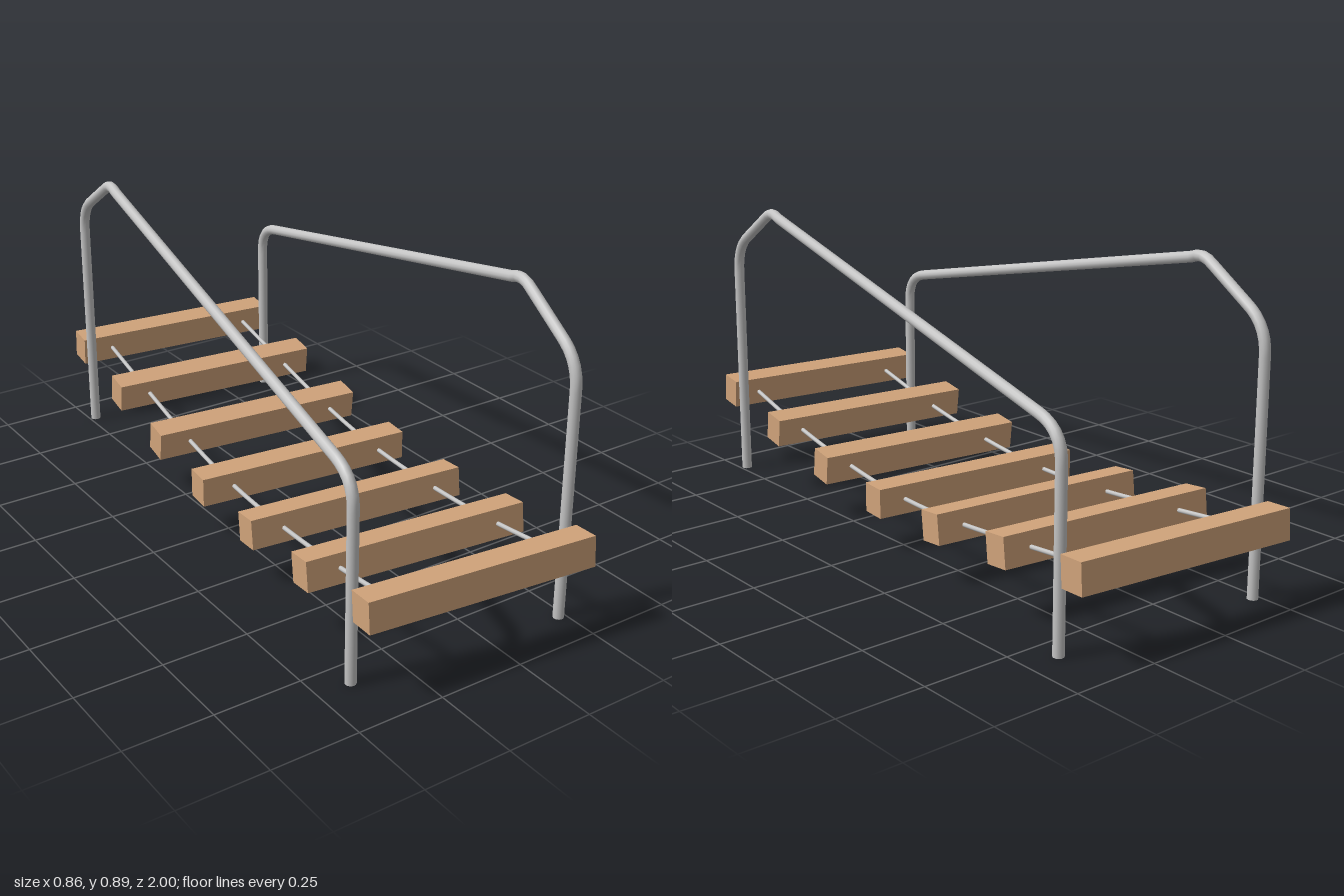
import * as THREE from 'three';

const wood = new THREE.MeshStandardMaterial({ color: 0xd0a37a });
wood.name = 'tan wood';
const metal = new THREE.MeshStandardMaterial({ color: 0xc4c4c4 });
metal.name = 'grey metal';

const RAIL_X = 0.317, RAIL_Z = 0.862, RAIL_R = 0.0155;

// [z, y, pitch] of each plank, front to back, along a sagging line
const PLANKS = [
  [0.931, 0.248, -0.1], [0.623, 0.194, -0.13], [0.312, 0.158, -0.12], [0, 0.143, 0],
  [-0.305, 0.158, 0.12], [-0.613, 0.194, 0.12], [-0.927, 0.235, 0.07],
];

function mesh(name, geometry, material, parent) {
  const m = new THREE.Mesh(geometry, material);
  m.name = name;
  parent.add(m);
  return m;
}

// Straight runs joined by quadratic bends; each bend is [start, corner, end] as [z, y]
function railCurve() {
  const v = ([z, y]) => new THREE.Vector3(RAIL_X, y, z);
  const bends = [
    [[RAIL_Z, 0.66], [RAIL_Z, 0.735], [0.8, 0.773]],
    [[0.645, 0.865], [0.612, 0.884], [0.575, 0.867]],
    [[-0.77, 0.590], [-RAIL_Z, 0.572], [-RAIL_Z, 0.49]],
  ];
  const path = new THREE.CurvePath();
  let last = v([RAIL_Z, 0]);
  for (const [a, b, c] of bends) {
    path.add(new THREE.LineCurve3(last, v(a)));
    path.add(new THREE.QuadraticBezierCurve3(v(a), v(b), v(c)));
    last = v(c);
  }
  path.add(new THREE.LineCurve3(last, v([-RAIL_Z, 0])));
  return path;
}

export function createModel() {
  const model = new THREE.Group();
  model.name = 'plankBridge';

  // The whole bridge stands slightly turned
  const bridge = new THREE.Group();
  bridge.name = 'bridge';
  bridge.rotation.y = -0.1;
  model.add(bridge);

  // Stepping planks
  const plankGeometry = new THREE.BoxGeometry(0.665, 0.086, 0.08);
  PLANKS.forEach(([z, y, pitch], i) => {
    const plank = mesh('plank' + (i + 1), plankGeometry, wood, bridge);
    plank.position.set(0, y, z);
    plank.rotation.x = pitch;
  });

  // Rods linking neighbouring planks
  for (const [name, x] of [['rightRod', -0.235], ['leftRod', 0.25]]) {
    const points = PLANKS.map(([z, y]) => new THREE.Vector3(x, y, z));
    const curve = new THREE.CatmullRomCurve3(points);
    mesh(name, new THREE.TubeGeometry(curve, 36, 0.0065, 8), metal, bridge);
  }

  // Two bent handrails, one the other turned half round
  const railGeometry = new THREE.TubeGeometry(railCurve(), 140, RAIL_R, 12);
  const capGeometry = new THREE.CircleGeometry(RAIL_R, 12).rotateX(Math.PI / 2);
  for (const [name, turn] of [['leftHandrail', 0], ['rightHandrail', Math.PI]]) {
    const rail = new THREE.Group();
    rail.name = name;
    rail.rotation.y = turn;
    bridge.add(rail);
    mesh('bentTube', railGeometry, metal, rail);
    for (const s of [1, -1]) {
      mesh('footCap', capGeometry, metal, rail).position.set(RAIL_X, 0, s * RAIL_Z);
    }
  }
  return model;
}
